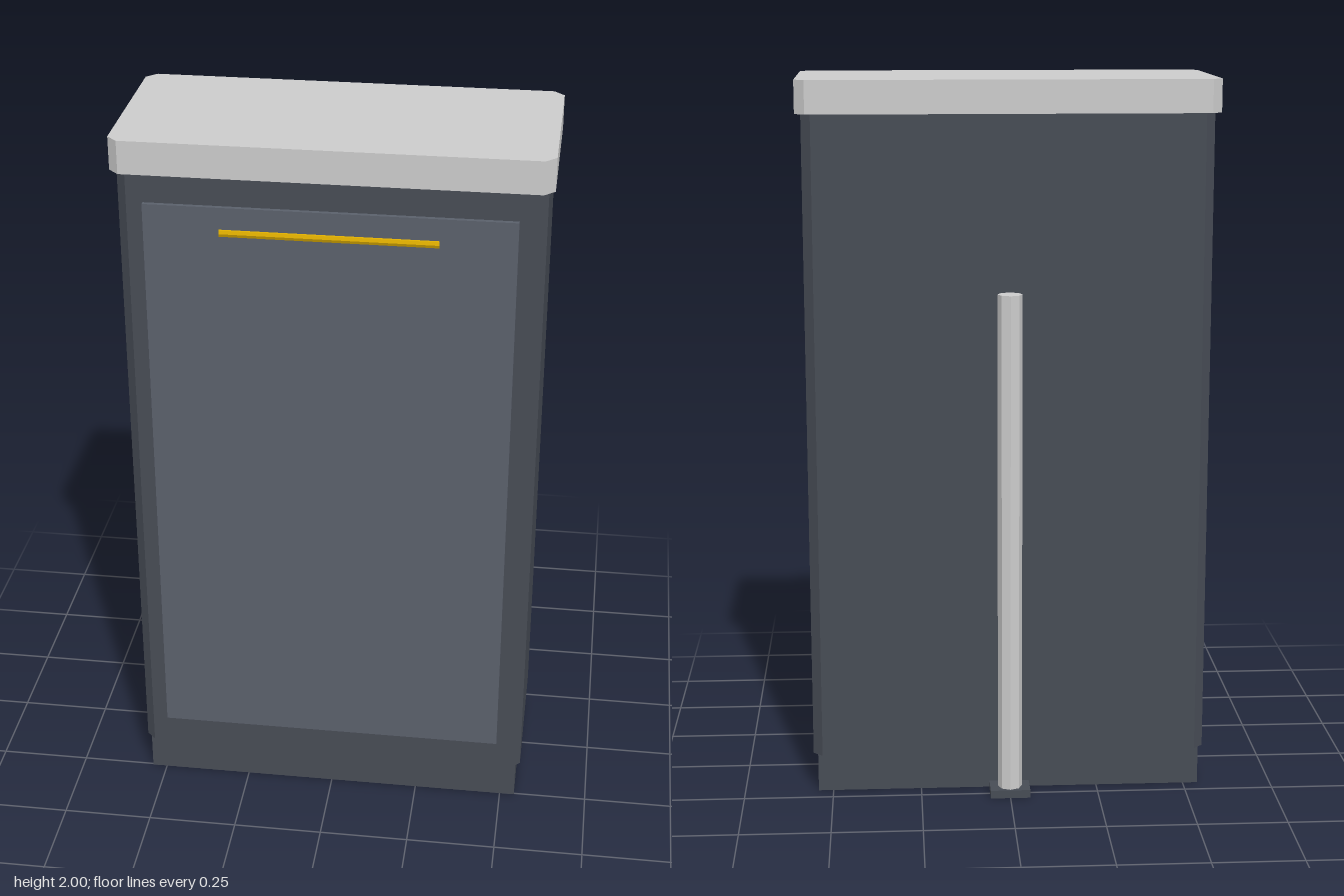
import * as THREE from 'three';

const paint = (color) => new THREE.MeshStandardMaterial({ color, flatShading: true });

export function createModel() {
  const group = new THREE.Group();
  const dark = paint(0x474c55), panel = paint(0x5a606b), gold = paint(0xd9a900), grey = paint(0xcccccc);

  const add = (name, geometry, material, x, y, z) => {
    const mesh = new THREE.Mesh(geometry, material);
    mesh.name = name;
    mesh.position.set(x, y, z);
    group.add(mesh);
    return mesh;
  };

  // Upright slab with chamfered vertical corners, base at y = 0
  const chamferedSlab = (w, h, d, c) => {
    const x = w / 2, z = d / 2;
    const outline = [[-x + c, -z], [x - c, -z], [x, -z + c], [x, z - c], [x - c, z], [-x + c, z], [-x, z - c], [-x, -z + c]];
    const shape = new THREE.Shape(outline.map(([a, b]) => new THREE.Vector2(a, b)));
    return new THREE.ExtrudeGeometry(shape, { depth: h, bevelEnabled: false }).rotateX(-Math.PI / 2);
  };

  // Cabinet
  const midZ = 0.027;
  add('plinth', new THREE.BoxGeometry(1.084, 0.11, 0.455), dark, 0, 0.055, midZ);
  add('cabinetBody', chamferedSlab(1.11, 1.8, 0.486, 0.026), dark, 0, 0.11, midZ);
  add('worktop', chamferedSlab(1.142, 0.09, 0.516, 0.028), grey, 0, 1.91, midZ);

  // Door and bar handle
  add('door', new THREE.BoxGeometry(0.97, 1.63, 0.026), panel, 0, 1.015, 0.269);
  const handle = add('handle', new THREE.CylinderGeometry(0.012, 0.012, 0.57, 8), gold, 0, 1.76, 0.277);
  handle.rotation.z = Math.PI / 2;

  // Rear pipe on its foot plate
  add('rearPipe', new THREE.CylinderGeometry(0.034, 0.034, 1.415, 8), grey, 0, 0.7225, -0.249);
  add('pipeFoot', new THREE.BoxGeometry(0.112, 0.023, 0.076), dark, 0, 0.0115, -0.25);

  return group;
}
